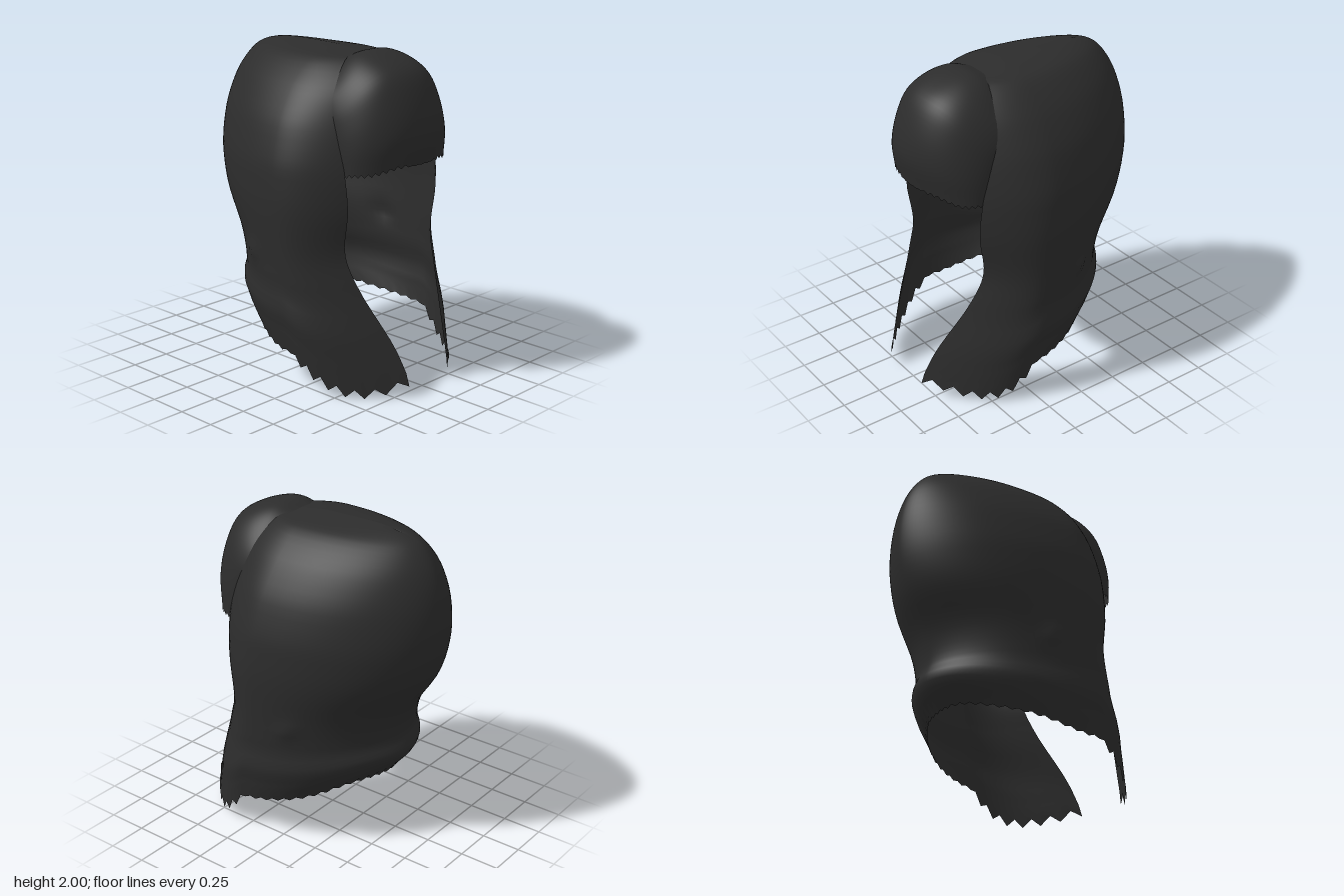
import * as THREE from 'three';

const { lerp } = THREE.MathUtils;
const hair = new THREE.MeshStandardMaterial({ color: 0x2c2c2c, side: THREE.DoubleSide });
hair.name = 'charcoal hair';

// Smooth guide line through a few points
const guide = (points) => new THREE.CatmullRomCurve3(points.map((p) => new THREE.Vector3(...p)));

// Rounded quarter from a point on the centre line to a point at the side;
// pinch above 1 narrows it toward the centre
function arc(centre, side, t, pinch) {
  const s = Math.sin(t * Math.PI / 2), c = Math.cos(t * Math.PI / 2);
  return new THREE.Vector3(side.x * s ** pinch, lerp(centre.y, side.y, s ** 3), lerp(side.z, centre.z, c));
}

// Uneven zigzag for the cut ends
const zigzag = (i) => (i % 2 ? 1 : -1) * (0.6 + 0.4 * Math.sin(i * 2.7));

// Mirrored sheet: pointAt(distance from centre 0..1, distance down 0..1);
// facing is 1 for a sheet round the back, -1 for one round the front
function sheet(name, cols, rows, facing, pointAt, raggedness) {
  const pos = [], index = [];
  for (let i = 0; i <= cols; i++) {
    const u = 1 - 2 * i / cols;
    for (let j = 0; j <= rows; j++) {
      const p = pointAt(Math.abs(u), j / rows);
      if (j === rows) p.y = Math.max(0, p.y + zigzag(i) * raggedness(p));
      pos.push(p.x * Math.sign(u) * facing, p.y, p.z);
      if (i < cols && j < rows) {
        const a = i * (rows + 1) + j, b = a + rows + 1;
        index.push(a, a + 1, b, b, a + 1, b + 1);
      }
    }
  }
  const g = new THREE.BufferGeometry();
  g.setAttribute('position', new THREE.Float32BufferAttribute(pos, 3));
  g.setIndex(index);
  g.computeVertexNormals();
  const mesh = new THREE.Mesh(g, hair);
  mesh.name = name;
  return mesh;
}

// Main hair, from the parting down: back line, half width and front edge
function mainHair() {
  const back = guide([[0, 1.985, -0.45], [0, 1.975, -0.53], [0, 1.93, -0.63], [0, 1.8, -0.73], [0, 1.6, -0.79],
    [0, 1.35, -0.795], [0, 1.12, -0.735], [0, 0.87, -0.585], [0, 0.69, -0.55], [0, 0.58, -0.58], [0, 0.42, -0.46]]);
  const front = guide([[0, 1.97, 0.24], [0.08, 1.965, 0.25], [0.18, 1.95, 0.28], [0.33, 1.8, 0.34], [0.39, 1.6, 0.41],
    [0.4, 1.35, 0.48], [0.39, 1.12, 0.5], [0.38, 0.85, 0.47], [0.34, 0.65, 0.54], [0.22, 0.3, 0.72], [0.175, 0.1, 0.8]]);
  const width = guide([0, 0.13, 0.26, 0.42, 0.545, 0.62, 0.635, 0.625, 0.62, 0.62, 0.595].map((x) => [x, 0, 0]));
  const turn = 0.68; // share of the sheet that wraps from back to side

  return sheet('mainHair', 84, 44, 1, (u, v) => {
    const b = back.getPoint(v), f = front.getPoint(v);
    const side = new THREE.Vector3(width.getPoint(v).x, lerp(b.y, f.y, 0.55), 0.05 + 0.2 * v * v);
    const crown = 0.023 * (1 - v) ** 4 * Math.sin(Math.PI * u);
    if (u < turn) {
      const p = arc(b, side, u / turn, 1.15);
      // Small tuft over each ear
      p.x += 0.02 * Math.exp(-(((p.z + 0.1) / 0.06) ** 2) - ((p.y - 0.8) / 0.05) ** 2);
      p.y += crown;
      return p;
    }
    // Side to front edge, with the lock hanging lowest in its middle
    const s = (u - turn) / (1 - turn);
    return new THREE.Vector3(
      lerp(side.x, f.x, s * s),
      lerp(side.y, f.y, s) + crown - 0.13 * v ** 6 * Math.sin(Math.PI * s),
      lerp(side.z, f.z, s));
  }, (p) => (p.z > 0.28 ? 0.045 : 0.013));
}

// Rounded fringe over the forehead: centre line and side edge tucked under the main hair
function fringe() {
  const centre = guide([[0, 1.965, 0.22], [0, 2, 0.34], [0, 1.975, 0.48], [0, 1.9, 0.62],
    [0, 1.76, 0.7], [0, 1.56, 0.745], [0, 1.37, 0.715]]);
  const edge = guide([[0.15, 1.94, 0.22], [0.26, 1.87, 0.26], [0.345, 1.78, 0.31], [0.385, 1.68, 0.35],
    [0.4, 1.57, 0.39], [0.405, 1.45, 0.42], [0.4, 1.32, 0.46]]);
  return sheet('fringe', 48, 28, -1,
    (u, v) => arc(centre.getPoint(v), edge.getPoint(v), u, 1),
    (p) => (p.x > 0.12 ? 0.016 : 0.003));
}

export function createModel() {
  const group = new THREE.Group();
  group.name = 'hair';
  group.add(mainHair(), fringe());
  return group;
}
